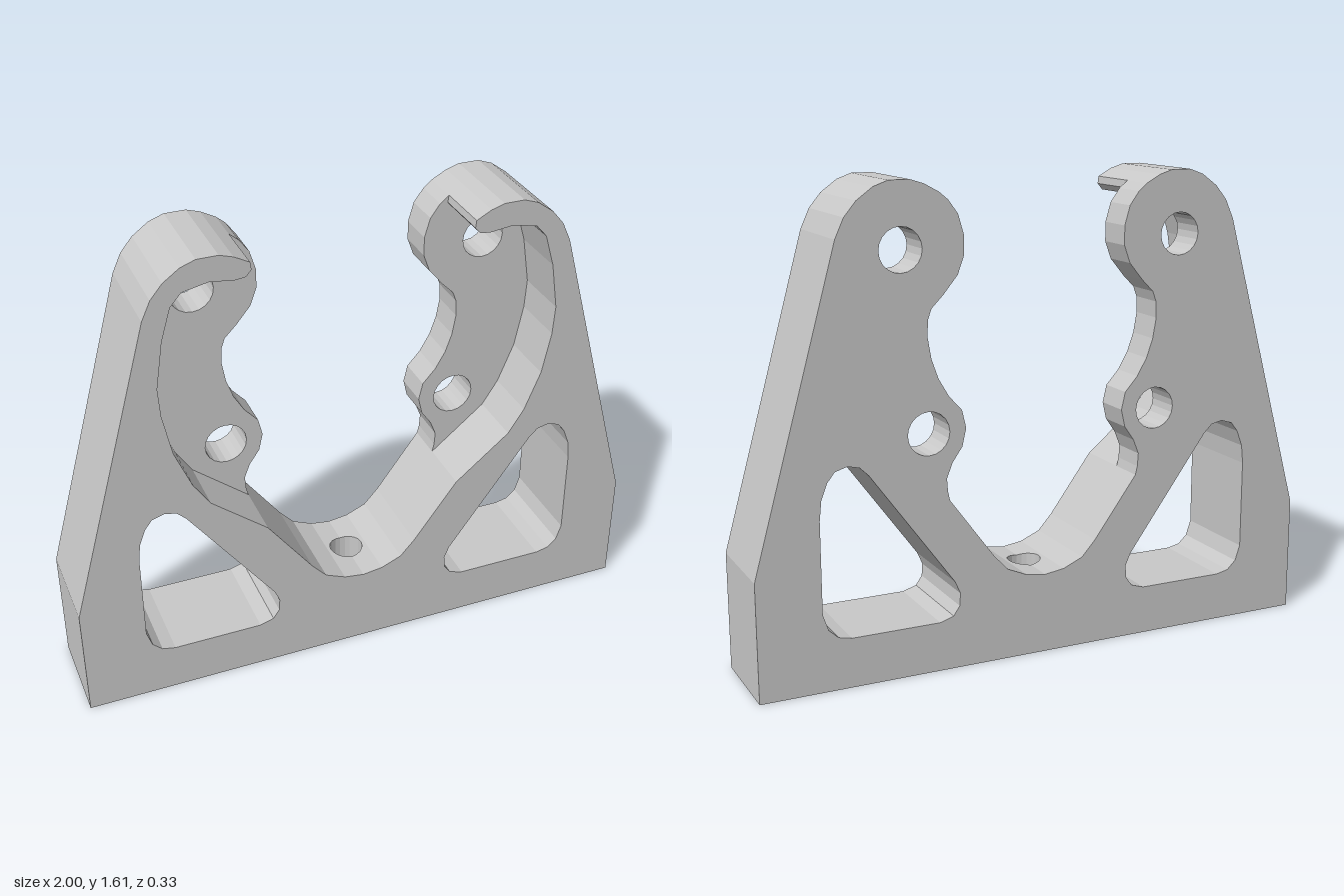
import * as THREE from 'three';
import { mergeGeometries } from 'three/addons/utils/BufferGeometryUtils.js';

const FRONT = 0.165, BACK = -0.165, POCKET = -0.035;

// Right-hand profile pieces, walked with the solid on the right
const floor = [[0.07, 0.285], [0.14, 0.315], [0.19, 0.37], [0.345, 0.58]];
const pocket = [[0.345, 0.58], [0.535, 0.735], [0.59, 0.82], [0.645, 0.955], [0.674, 1.1], [0.68, 1.2],
  [0.655, 1.36], [0.622, 1.47], [0.585, 1.512], [0.5, 1.53], [0.42, 1.52], [0.385, 1.524],
  [0.367, 1.545], [0.37, 1.57]];
const lobes = [[0.345, 0.58], [0.352, 0.61], [0.355, 0.655], [0.335, 0.705], [0.3, 0.755], [0.286, 0.815],
  [0.3, 0.875], [0.345, 0.925], [0.38, 0.985], [0.403, 1.05], [0.415, 1.12], [0.413, 1.175], [0.4, 1.21],
  [0.36, 1.25], [0.31, 1.31], [0.288, 1.37], [0.288, 1.435], [0.307, 1.5], [0.34, 1.545], [0.37, 1.57]];
const outer = [[0.37, 1.57], [0.42, 1.597], [0.465, 1.611], [0.535, 1.611], [0.585, 1.593], [0.64, 1.553],
  [0.68, 1.505], [0.71, 1.44], [1, 0.4], [1, 0]];
const windowLoop = [[0.785, 0.57], [0.778, 0.635], [0.757, 0.69], [0.732, 0.722], [0.69, 0.735], [0.65, 0.726],
  [0.62, 0.697], [0.33, 0.3], [0.312, 0.258], [0.315, 0.215], [0.337, 0.183], [0.385, 0.168],
  [0.69, 0.168], [0.735, 0.178], [0.767, 0.208], [0.785, 0.262]];

function circle(cx, cy, r, n = 20) {
  return Array.from({ length: n }, (_, i) => {
    const a = (i / n) * Math.PI * 2;
    return [cx + r * Math.cos(a), cy + r * Math.sin(a)];
  });
}
const boltHoles = [circle(0.5, 1.398, 0.072), circle(0.415, 0.809, 0.072)];
const close = (p) => [...p, p[0]];
const mirror = (p) => p.map(([x, y]) => [-x, y]).reverse();
const side = (p, s) => (s > 0 ? p : mirror(p));
const floorY = (x) => 0.275 + (0.01 * Math.abs(x)) / 0.07;

// Flat-faceted strip joining two rows of points
function ribbon(a, b) {
  const pos = [];
  for (let i = 0; i < a.length - 1; i++) {
    pos.push(...a[i], ...a[i + 1], ...b[i + 1], ...a[i], ...b[i + 1], ...b[i]);
  }
  const g = new THREE.BufferGeometry();
  g.setAttribute('position', new THREE.Float32BufferAttribute(pos, 3));
  g.computeVertexNormals();
  return g;
}
const wall = (p, z0, z1) => ribbon(p.map(([x, y]) => [x, y, z0]), p.map(([x, y]) => [x, y, z1]));
const bothWalls = (p, z0, z1) => mergeGeometries([wall(p, z0, z1), wall(mirror(p), z0, z1)]);

// Flat face with holes, facing +z
function face(loop, holes = []) {
  const toVec = (p) => p.map(([x, y]) => new THREE.Vector2(x, y));
  const shape = new THREE.Shape(toVec(loop));
  holes.forEach((h) => shape.holes.push(new THREE.Path(toVec(h))));
  return new THREE.ShapeGeometry(shape);
}

export function createModel() {
  const group = new THREE.Group();
  const grey = new THREE.MeshStandardMaterial({ color: 0xc8c8c8 });
  grey.name = 'lightGrey';
  const add = (name, geometry) => {
    const mesh = new THREE.Mesh(geometry, grey);
    mesh.name = name;
    group.add(mesh);
  };

  const windows = [windowLoop, mirror(windowLoop)];
  const allBolts = [...boltHoles, ...boltHoles.map(mirror)];
  const fullLoop = (half) => [...mirror(half), [0, 0.275], ...half];

  // Front and back faces
  add('frontFace', face(fullLoop([...floor, ...pocket.slice(1), ...outer.slice(1)]), windows)
    .translate(0, 0, FRONT));
  add('backFace', face(fullLoop([...floor, ...lobes.slice(1), ...outer.slice(1)]), [...windows, ...allBolts])
    .rotateY(Math.PI).translate(0, 0, BACK));

  // Recessed mounting faces with bolt holes
  for (const s of [1, -1]) {
    const loop = [...lobes, ...pocket.slice(1, -1).reverse()];
    add('recessFace', face(side(loop, s), boltHoles.map((h) => side(h, s))).translate(0, 0, POCKET));
  }

  // Walls running front to back
  add('outerWalls', bothWalls(outer, FRONT, BACK));
  add('cradleWalls', bothWalls(floor, FRONT, BACK));
  add('recessWalls', bothWalls(pocket, FRONT, POCKET));
  add('lobeWalls', bothWalls(lobes, POCKET, BACK));
  add('windowWalls', bothWalls(close(windowLoop), FRONT, BACK));
  boltHoles.forEach((h) => add('boltHoleWalls', bothWalls(close(h), POCKET, BACK)));

  // Underside with three vertical screw holes, the outer two blind
  const screwX = [-0.89, 0, 0.89];
  const base = [[-1, BACK], [1, BACK], [1, FRONT], [-1, FRONT]];
  add('underside', face(base, screwX.map((x) => circle(x, 0, 0.058))).rotateX(Math.PI / 2));
  for (const x of screwX) {
    const ring = close(circle(x, 0, 0.058));
    const top = (px) => (x === 0 ? floorY(px) : 0.3);
    add('screwHoleWall', ribbon(ring.map(([px, z]) => [px, 0, z]), ring.map(([px, z]) => [px, top(px), z])));
    if (x !== 0) {
      add('screwHoleEnd', new THREE.CircleGeometry(0.058, 20).rotateX(Math.PI / 2).translate(x, 0.3, 0));
    }
  }

  // Bottom of the cradle: two shallow slopes meeting at the middle screw hole
  const halfRing = circle(0, 0, 0.058).filter(([x]) => x > -1e-6).sort((a, b) => b[1] - a[1]);
  const halfFloor = [[0, BACK], [0.07, BACK], [0.07, FRONT], [0, FRONT], ...halfRing];
  for (const s of [1, -1]) {
    const slope = face(side(halfFloor, s)).rotateX(-Math.PI / 2);
    const pos = slope.attributes.position;
    for (let i = 0; i < pos.count; i++) pos.setY(i, floorY(pos.getX(i)));
    slope.computeVertexNormals();
    add('cradleFloor', slope);
  }

  return group;
}
